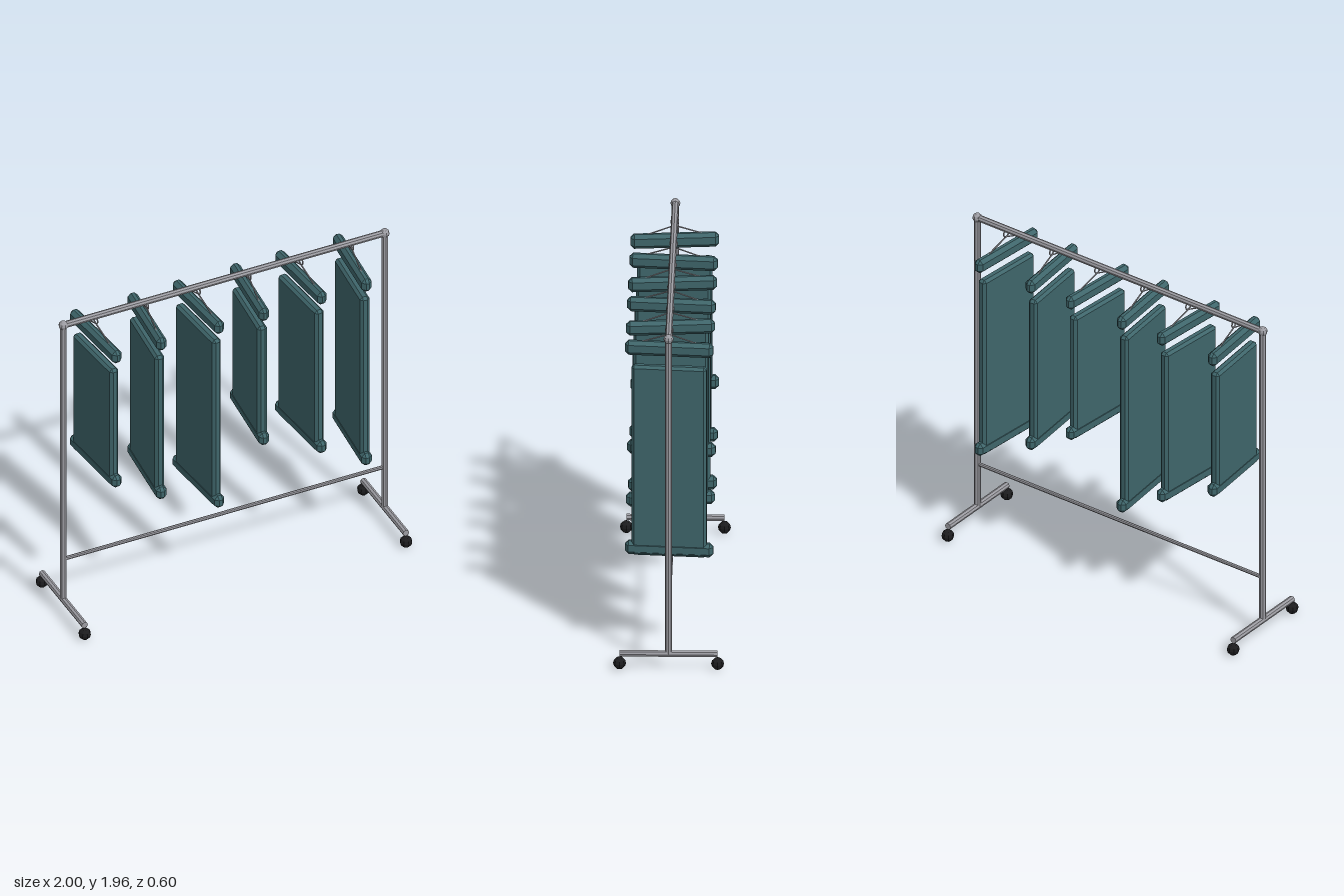
import * as THREE from 'three';
import { ConvexGeometry } from 'three/addons/geometries/ConvexGeometry.js';

const flat = (name, color) => {
  const m = new THREE.MeshStandardMaterial({ color, flatShading: true });
  m.name = name;
  return m;
};

// Box with all edges chamfered by c
function chamferBox(w, h, d, c) {
  const pts = [];
  for (const sx of [-1, 1]) for (const sy of [-1, 1]) for (const sz of [-1, 1]) {
    const x = w / 2, y = h / 2, z = d / 2;
    pts.push(new THREE.Vector3(sx * x, sy * (y - c), sz * (z - c)));
    pts.push(new THREE.Vector3(sx * (x - c), sy * y, sz * (z - c)));
    pts.push(new THREE.Vector3(sx * (x - c), sy * (y - c), sz * z));
  }
  return new ConvexGeometry(pts);
}

export function createModel() {
  const metal = flat('steel', 0x9c9ca2);
  const cloth = flat('teal cloth', 0x3f666b);
  const rubber = flat('black rubber', 0x1c1c1e);
  const model = new THREE.Group();
  model.name = 'garmentRack';

  const add = (parent, name, geometry, material, x = 0, y = 0, z = 0) => {
    const mesh = new THREE.Mesh(geometry, material);
    mesh.name = name;
    mesh.position.set(x, y, z);
    parent.add(mesh);
    return mesh;
  };

  // Straight tube between two points
  const rod = (parent, name, a, b, r, sides = 8) => {
    const from = new THREE.Vector3(...a), to = new THREE.Vector3(...b);
    const dir = to.clone().sub(from);
    const mesh = add(parent, name, new THREE.CylinderGeometry(r, r, dir.length(), sides), metal);
    mesh.position.copy(from).add(to).multiplyScalar(0.5);
    mesh.quaternion.setFromUnitVectors(new THREE.Vector3(0, 1, 0), dir.normalize());
    return mesh;
  };

  // Frame
  const px = 0.965, topY = 1.93, footY = 0.092;
  rod(model, 'topRail', [-px, topY, 0], [px, topY, 0], 0.019);
  rod(model, 'lowerRail', [-px, 0.362, 0], [px, 0.362, 0], 0.011);
  for (const s of [-1, 1]) {
    const side = s > 0 ? 'left' : 'right';
    rod(model, side + 'Post', [s * px, footY, 0], [s * px, topY, 0], 0.019);
    add(model, side + 'CornerJoint', new THREE.SphereGeometry(0.027, 8, 6), metal, s * px, topY, 0);
    rod(model, side + 'Foot', [s * px, footY, -0.265], [s * px, footY, 0.265], 0.019);
    for (const z of [-0.265, 0.265]) {
      add(model, side + 'Caster', new THREE.SphereGeometry(0.035, 8, 6), rubber, s * px, 0.036, z);
    }
  }

  // Hanging garments, alternately turned
  const bottoms = [0.92, 0.755, 0.587];
  for (let i = 0; i < 6; i++) {
    const bottom = bottoms[i % 3], top = 1.695;
    const g = new THREE.Group();
    g.name = 'hangingGarment' + (i + 1);
    g.position.x = -0.77 + i * 0.308;
    g.rotation.y = [1, -1, 1, -1, 1, -1][i] * 0.09;
    model.add(g);

    // Hook ring and sloping wires
    const hook = add(g, 'hook', new THREE.TorusGeometry(0.02, 0.004, 6, 14), metal, 0, 1.902, 0);
    hook.rotation.y = Math.PI / 2;
    for (const s of [-1, 1]) {
      rod(g, 'hangerWire', [0, 1.88, 0], [0, 1.82, s * 0.18], 0.004, 6);
    }

    // Shoulder bar, cloth panel and hem
    add(g, 'shoulderBar', chamferBox(0.058, 0.082, 0.48, 0.02), cloth, 0, 1.794, 0);
    add(g, 'clothPanel', chamferBox(0.055, top - bottom, 0.408, 0.015), cloth, 0, (top + bottom) / 2, 0);
    add(g, 'hem', chamferBox(0.06, 0.078, 0.48, 0.02), cloth, 0, bottom + 0.04, 0);
  }
  return model;
}
